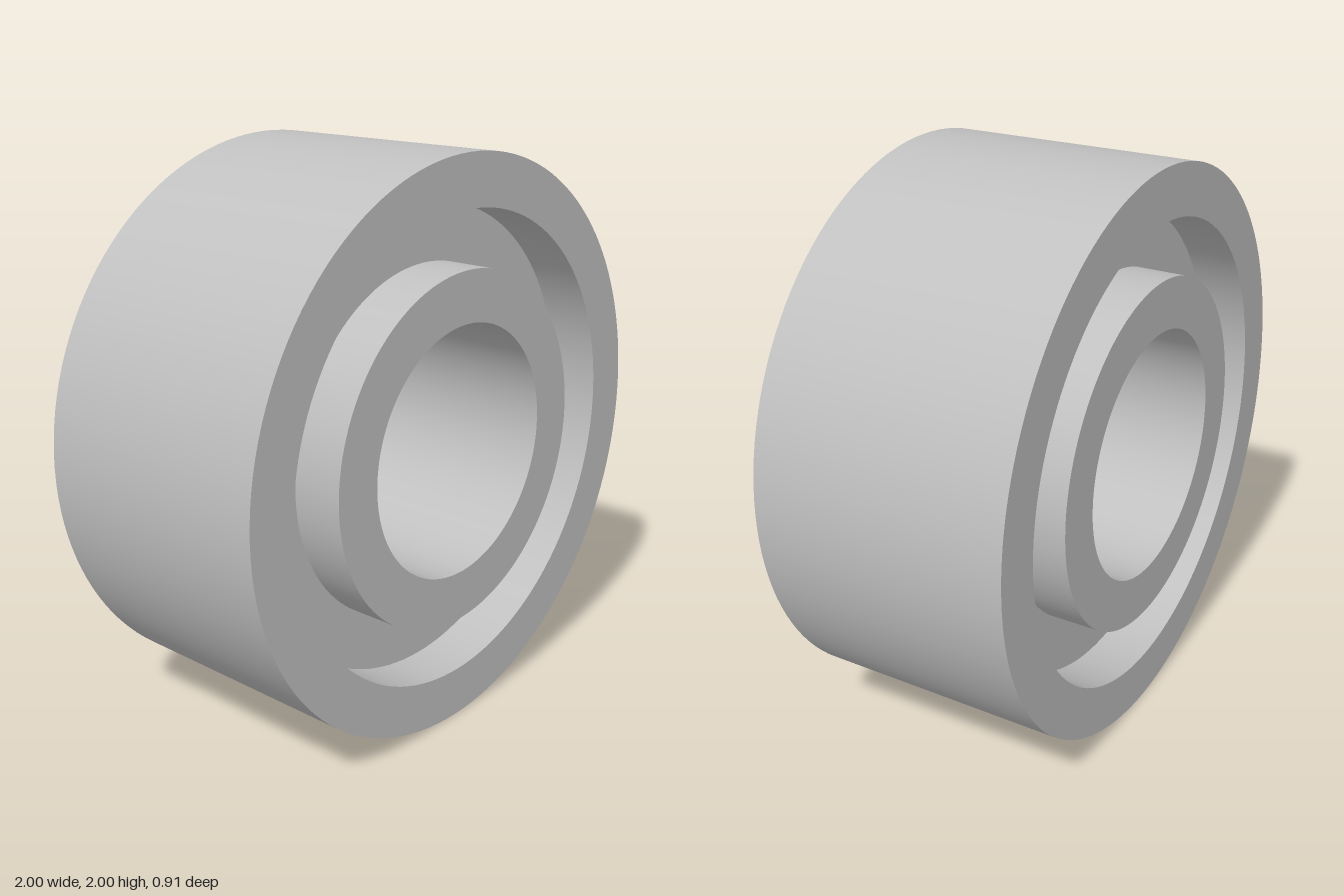
import * as THREE from 'three';
import { toCreasedNormals } from 'three/addons/utils/BufferGeometryUtils.js';

const steel = new THREE.MeshStandardMaterial({ color: 0xc0c0c0 });
steel.name = 'steel grey';

// Ring of rectangular section around the z axis, centred at mid height
function ring(name, inner, outer, halfWidth) {
  const profile = [
    [inner, -halfWidth], [outer, -halfWidth],
    [outer, halfWidth], [inner, halfWidth], [inner, -halfWidth],
  ].map(([r, h]) => new THREE.Vector2(r, h));
  const geometry = toCreasedNormals(new THREE.LatheGeometry(profile, 128), 0.6);
  geometry.rotateX(Math.PI / 2);
  const mesh = new THREE.Mesh(geometry, steel);
  mesh.name = name;
  mesh.position.y = 1;
  return mesh;
}

export function createModel() {
  const group = new THREE.Group();
  group.name = 'ballBearing';
  group.add(
    ring('outerRace', 0.82, 1, 0.453),
    ring('innerRace', 0.443, 0.623, 0.453),
    // Recessed shield closing the gap between the races on both sides
    ring('shield', 0.623, 0.82, 0.27),
  );
  return group;
}
